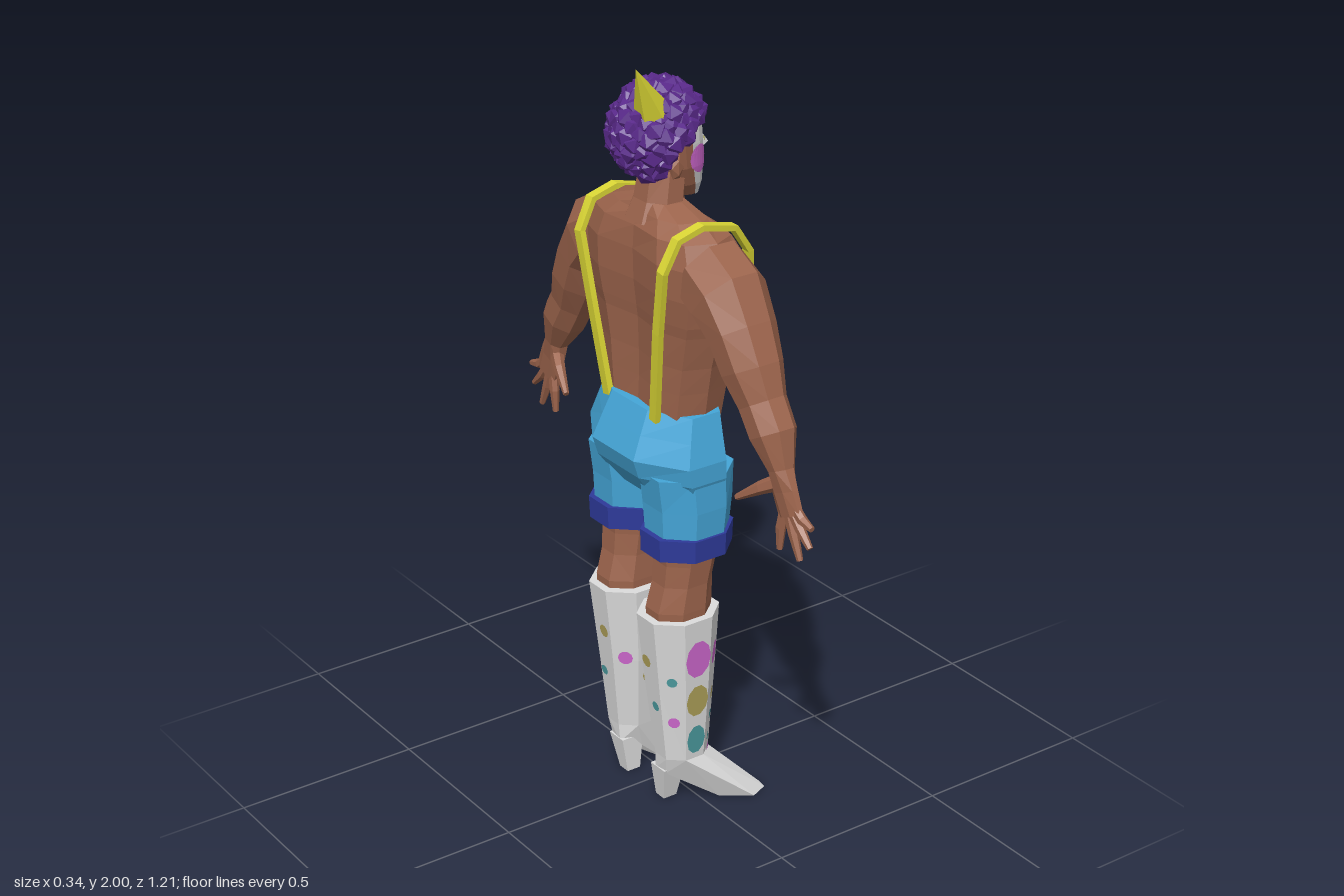
import * as THREE from 'three';
import { mergeGeometries } from 'three/addons/utils/BufferGeometryUtils.js';
import { ConvexGeometry } from 'three/addons/geometries/ConvexGeometry.js';

const V = (x, y, z) => new THREE.Vector3(x, y, z);
const mat = (name, color) => Object.assign(new THREE.MeshStandardMaterial({ color }), { name });
const skin = mat('skin', 0x9c644c), blue = mat('shortsBlue', 0x45a6d8), navy = mat('cuffNavy', 0x2e3a9a);
const white = mat('white', 0xdcdcdc), purple = mat('wigPurple', 0x59298a), yellow = mat('yellow', 0xdad635);
const pink = mat('pink', 0xcf68cf), teal = mat('teal', 0x4c9ca0), gold = mat('gold', 0xb0a25a);

// Skins a list of rings running upward or along a limb; closed shapes are capped and turned outward
function loft(rings, closed = true) {
  const n = rings[0].length, tris = [], m = closed ? n : n - 1;
  for (let i = 0; i < rings.length - 1; i++) for (let j = 0; j < m; j++) {
    const a = rings[i][j], b = rings[i][(j + 1) % n], c = rings[i + 1][j], d = rings[i + 1][(j + 1) % n];
    tris.push([a, c, b], [b, c, d]);
  }
  if (closed) {
    const last = rings[rings.length - 1];
    for (let j = 1; j < n - 1; j++) tris.push([rings[0][0], rings[0][j], rings[0][j + 1]], [last[0], last[j + 1], last[j]]);
    const vol = tris.reduce((s, [a, b, c]) => s + a.dot(V().crossVectors(b, c)), 0);
    if (vol < 0) tris.forEach(t => t.reverse());
  }
  const g = new THREE.BufferGeometry().setFromPoints(tris.flat());
  g.computeVertexNormals();
  return g;
}
// Horizontal polygon whose flats touch the given half sizes
const ring = ([y, cx, rx, cz, rz], s = 1, n = 8) => Array.from({ length: n }, (_, k) => {
  const a = (k + 0.5) / n * Math.PI * 2, f = 1 / Math.cos(Math.PI / n);
  return V(cx + Math.cos(a) * rx * f, y, s * (cz + Math.sin(a) * rz * f));
});
const stack = (rows, s = 1, n = 8) => loft(rows.map(r => ring(r, s, n)));
// Sweep along [x, y, z, across, along axis] points
function sweep(rows, s, axis, n) {
  const p = rows.map(r => V(r[0], r[1], s * r[2]));
  return loft(p.map((c, i) => {
    const dir = V().subVectors(p[Math.min(i + 1, p.length - 1)], p[Math.max(i - 1, 0)]).normalize();
    const v = V().crossVectors(dir, axis).normalize(), u = V().crossVectors(v, dir);
    return Array.from({ length: n }, (_, k) => {
      const a = (k + 0.5) / n * Math.PI * 2;
      return c.clone().addScaledVector(u, Math.cos(a) * rows[i][4]).addScaledVector(v, Math.sin(a) * rows[i][3]);
    });
  }));
}
// Interpolates table rows by their first entry
function rowAt(rows, y) {
  let i = 0;
  while (i < rows.length - 2 && (rows[i + 1][0] - y) * (rows[i + 1][0] - rows[0][0]) < 0) i++;
  const t = (y - rows[i][0]) / (rows[i + 1][0] - rows[i][0]);
  return rows[i].map((v, k) => v + (rows[i + 1][k] - v) * t);
}

// y, front centre, chest front, side z, back blade, spine
const TORSO = [
  [1.08, .075, .08, .17, -.10, -.09], [1.18, .083, .092, .187, -.10, -.085], [1.25, .092, .098, .20, -.10, -.085],
  [1.34, .098, .108, .225, -.105, -.088], [1.37, .112, .13, .235, -.11, -.092], [1.44, .115, .135, .25, -.118, -.10],
  [1.52, .088, .115, .25, -.12, -.102], [1.58, .05, .075, .22, -.108, -.098],
  [1.615, .025, .03, .16, -.085, -.085], [1.64, .02, .015, .075, -.07, -.075]];
const SHOULDER_TO_WRIST = [
  [-.01, 1.50, .19, .105, .095], [-.01, 1.46, .265, .105, .098], [-.01, 1.39, .322, .082, .088], [-.01, 1.31, .363, .078, .078],
  [-.008, 1.235, .402, .064, .06], [-.008, 1.17, .445, .064, .058], [-.01, 1.09, .482, .036, .032],
  [-.012, 1.04, .50, .045, .022], [-.012, .985, .525, .045, .018]];
const FINGER_TIPS = [[-.012, .98, .605], [-.01, .925, .597], [-.01, .878, .56], [-.015, .882, .487]];
const STRAP = [[.08, 1.10, .093], [.108, 1.25, .122], [.137, 1.42, .15], [.122, 1.52, .166], [.07, 1.592, .175],
  [-.03, 1.615, .18], [-.10, 1.595, .18], [-.138, 1.52, .175], [-.128, 1.35, .142], [-.108, 1.10, .10]];
const BOOT = [[.56, -.042, .103, .107, .09], [.35, -.035, .086, .105, .077], [.14, -.03, .067, .108, .058]];
// y, centre x, half depth, half width
const HEAD = [[1.635, .052, .03, .032], [1.67, .03, .058, .056], [1.72, .008, .08, .073], [1.78, -.002, .088, .08],
  [1.85, -.005, .085, .08], [1.90, -.005, .06, .055]];
function headRing(y, a0, a1, n, out = 0) {
  const [, cx, rx, rz] = rowAt(HEAD, y);
  return Array.from({ length: n }, (_, k) => {
    const a = a0 + (a1 - a0) * k / (n - 1);
    return V(cx + Math.cos(a) * (rx + out), y, Math.sin(a) * (rz + out));
  });
}

export function createModel() {
  const model = new THREE.Group();
  const add = (name, geo, m, parent = model) => {
    const mesh = new THREE.Mesh(geo, m);
    mesh.name = name;
    parent.add(mesh);
    return mesh;
  };
  const X = V(1, 0, 0), Z = V(0, 0, 1);

  // Torso and neck
  add('torso', loft(TORSO.map(([y, fc, fm, zs, bm, bc]) => {
    const half = [[fc, 0], [fm, .5 * zs], [fm * .72, .86 * zs], [-.01, zs], [bm * .78, .86 * zs], [bm, .5 * zs], [bc, 0]];
    const back = half.slice(1, -1).reverse().map(([x, z]) => [x, -z]);
    return [...half, ...back].map(([x, z]) => V(x, y, z));
  })), skin);
  add('neck', stack([[1.59, -.03, .07, 0, .085], [1.64, -.025, .055, 0, .068], [1.72, -.01, .055, 0, .06]]), skin);

  // Shorts seat
  add('shortsSeat', stack([[.88, -.015, .085, 0, .19], [.95, -.025, .125, 0, .215], [1.0, -.03, .136, 0, .216],
    [1.06, -.022, .118, 0, .2], [1.12, -.013, .1, 0, .184]]), blue);

  for (const s of [1, -1]) {
    const side = new THREE.Group();
    side.name = s < 0 ? 'leftLimbs' : 'rightLimbs';
    model.add(side);

    // Arm, fingers and thumb
    add('arm', sweep(SHOULDER_TO_WRIST, s, X, 8), skin, side);
    FINGER_TIPS.forEach(([x, y, z], i) => add('finger', sweep([[-.012, 1.02 - i * .008, .525 - i * .008, .014, .013],
      [x, (y + 1.0) / 2, (z + .53 - i * .012) / 2, .014, .013], [x, y, z, .008, .008]], s, X, 6), skin, side));
    add('thumb', sweep([[-.012, 1.06, .485, .022, .018], [-.035, 1.03, .435, .017, .015], [-.058, .985, .37, .008, .008]], s, X, 6), skin, side);

    // Suspender strap
    add('suspender', sweep(STRAP.map(p => [...p, .011, .019]), s, Z, 4), yellow, side);

    // Shorts leg with cuff
    add('shortsLeg', stack([[.77, -.018, .1, .112, .095], [.87, -.015, .108, .11, .103], [.96, -.02, .115, .112, .1]], s), blue, side);
    add('cuff', stack([[.738, -.02, .112, .113, .101], [.798, -.02, .114, .114, .102]], s), navy, side);

    // Leg and kneecap
    add('leg', stack([[.48, -.045, .075, .108, .065], [.58, -.042, .083, .11, .068], [.65, -.033, .074, .112, .066],
      [.71, -.025, .078, .113, .07], [.78, -.025, .085, .114, .075]], s), skin, side);
    add('kneecap', new ConvexGeometry([[.03, .73, .085], [.03, .73, .14], [.052, .70, .09], [.052, .70, .135],
      [.05, .655, .1], [.05, .655, .125], [.02, .63, .112]].map(([x, y, z]) => V(x, y, s * z))), skin, side);

    // Boot shaft, foot and heel
    add('bootShaft', stack(BOOT, s), white, side);
    const foot = [[-.095, .09, .08], [-.09, .09, .12], [-.035, .065, .065], [-.03, .065, .13], [.035, 0, .07], [.045, 0, .175],
      [.09, 0, .105], [.12, 0, .226], [.17, 0, .205], [.165, 0, .165], [.16, .014, .195]].map(([x, y, z]) => V(x, y, s * z));
    add('foot', new ConvexGeometry([...foot, ...ring(BOOT[2], s)]), white, side);
    add('heel', stack([[0, -.062, .02, .083, .018], [.1, -.065, .033, .095, .03]], s, 4), white, side);

    // Spots: facet, offset, height, half width, half height, colour
    const spots = [[2, 0, .447, .039, .055, pink], [2, 0, .32, .034, .047, gold], [2, 0, .2, .028, .043, teal],
      [1, .005, .44, .03, .032, pink], [0, .01, .425, .013, .013, teal], [0, .03, .365, .012, .012, pink],
      [7, 0, .38, .028, .028, gold], [1, 0, .315, .014, .02, gold], [1, 0, .25, .014, .014, teal],
      [7, .01, .25, .02, .022, gold], [1, .01, .19, .012, .012, teal], [1, -.008, .145, .014, .014, pink],
      [0, -.01, .485, .007, .007, pink], [3, 0, .385, .014, .014, teal], [3, 0, .26, .016, .016, pink],
      [4, .01, .43, .018, .018, gold], [4, -.01, .3, .014, .014, teal], [5, 0, .36, .02, .02, pink], [6, 0, .3, .022, .022, gold]];
    for (const [k, off, y, w, h, m] of spots) {
      const a = k * Math.PI / 4;
      const at = yy => { const [, cx, rx, cz, rz] = rowAt(BOOT, yy); return V(cx + Math.cos(a) * rx, yy, s * (cz + Math.sin(a) * rz)); };
      const up = at(y + .03).sub(at(y - .03)).normalize();
      const flat = V(Math.cos(a), 0, s * Math.sin(a));
      const normal = flat.clone().addScaledVector(up, -flat.dot(up)).normalize();
      const across = V().crossVectors(up, normal);
      const spot = add('bootSpot', new THREE.CircleGeometry(1, 10).scale(w, h, 1), m, side);
      spot.applyMatrix4(new THREE.Matrix4().makeBasis(across, up, normal)
        .setPosition(at(y).addScaledVector(across, -s * off).addScaledVector(normal, .003)));
    }

    // Ear
    add('ear', new THREE.IcosahedronGeometry(1, 0).scale(.02, .034, .014).translate(-.03, 1.735, s * .08), skin, side);
  }

  // Head with painted face
  const T = Math.PI * 2;
  add('head', loft(HEAD.map(r => headRing(r[0], 0, T * 15 / 16, 16))), skin);
  add('facePaint', loft(HEAD.map(r => headRing(r[0], -1.35, 1.35, 9, .003)), false), white);
  const patch = (name, a, y, da, h, m, out = .006) => add(name, loft(Array.from({ length: 7 }, (_, i) => {
    const t = -1.45 + 2.9 * i / 6;
    return headRing(y + h * Math.sin(t), a - da * Math.cos(t), a + da * Math.cos(t), 7, out);
  }), false), m);
  for (const s of [1, -1]) {
    patch('cheek', s * 1.08, 1.74, .42, .038, pink);
    patch('eyelid', s * .52, 1.784, .24, .011, yellow);
    patch('eye', s * .38, 1.772, .11, .009, teal, .008);
    patch('nostril', s * .13, 1.733, .11, .012, purple, .01);
  }
  patch('lips', 0, 1.69, .65, .014, pink);
  patch('foreheadSpot', .3, 1.825, .12, .01, teal);
  add('nose', new ConvexGeometry([V(.08, 1.80, .01), V(.08, 1.80, -.01), V(.117, 1.752, .008), V(.117, 1.752, -.008),
    V(.108, 1.738, 0), V(.08, 1.738, .02), V(.08, 1.738, -.02)]), white);

  // Curly wig: a core covered with seeded faceted curls
  let seed = 7;
  const rnd = () => (seed = (seed * 16807) % 2147483647) / 2147483647;
  add('wigCore', new THREE.IcosahedronGeometry(1, 2).scale(.1, .085, .1).translate(-.03, 1.835, 0), purple);
  const curls = [], N = 190;
  for (let i = 0; i < N; i++) {
    const cy = 1 - 2 * (i + .5) / N, r = Math.sqrt(1 - cy * cy), a = i * 2.39996;
    const x = -.025 + Math.cos(a) * r * .103, y = 1.805 + cy * .108, z = Math.sin(a) * r * .096;
    if (y < 1.79 + (x > -.03 ? .7 : 1.5) * (x + .03)) continue;
    const size = .024 + rnd() * .011;
    curls.push(new THREE.IcosahedronGeometry(size, 0).rotateX(rnd() * 6).rotateY(rnd() * 6).rotateZ(rnd() * 6).translate(x, y, z));
  }
  add('wigCurls', mergeGeometries(curls), purple);

  // Small tilted party hat
  const tip = V(-.148, 2.0, .083), base = V(-.07, 1.865, .043), axis = V().subVectors(tip, base);
  const hat = add('partyHat', new THREE.ConeGeometry(.05, axis.length(), 6).toNonIndexed(), yellow);
  hat.geometry.computeVertexNormals();
  hat.position.copy(base).addScaledVector(axis, .5);
  hat.quaternion.setFromUnitVectors(V(0, 1, 0), axis.normalize());

  return model;
}
